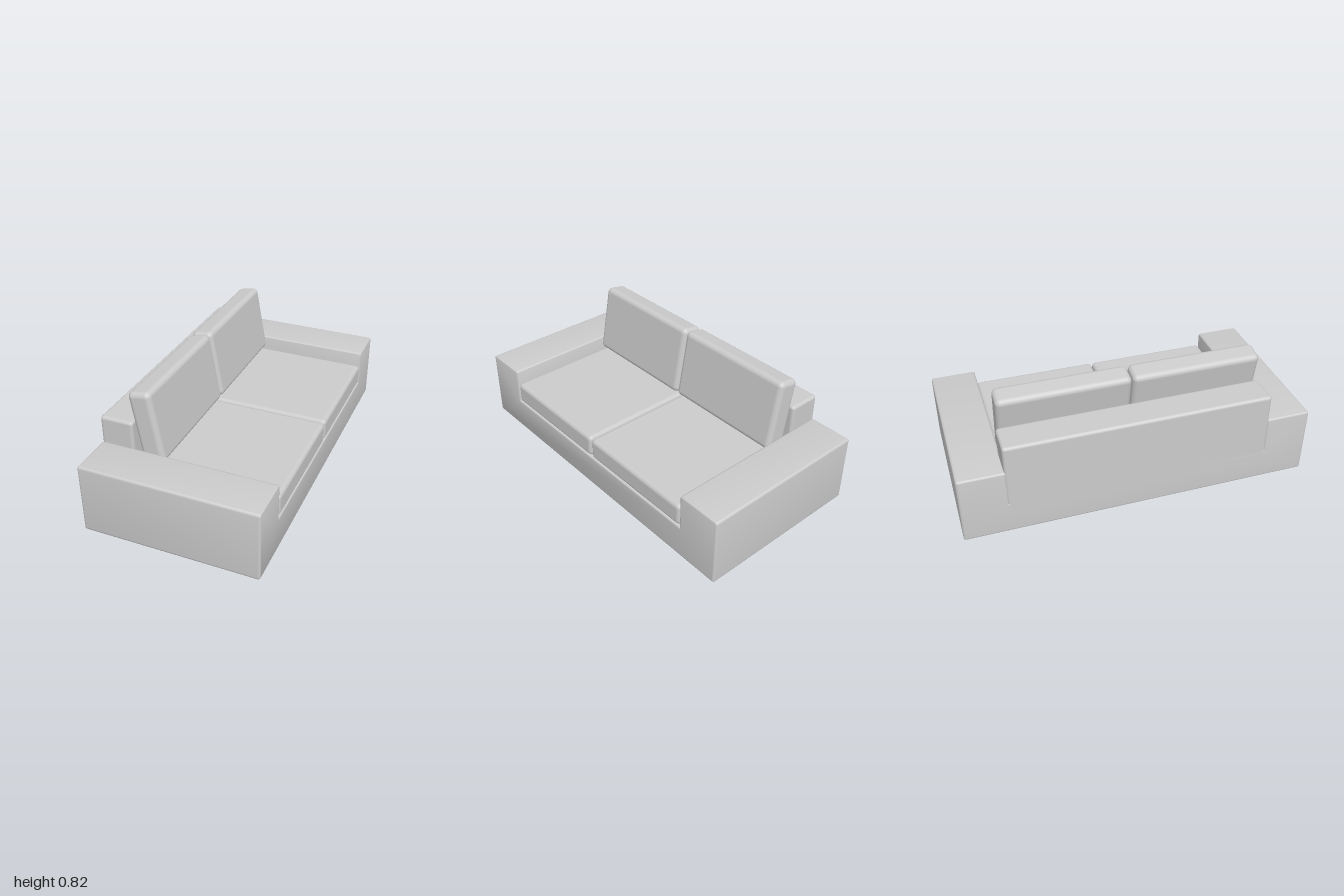
import * as THREE from 'three';
import { RoundedBoxGeometry } from 'three/addons/geometries/RoundedBoxGeometry.js';
import { toCreasedNormals } from 'three/addons/utils/BufferGeometryUtils.js';

const material = new THREE.MeshStandardMaterial({ color: 0xcccccc });

function add(parent, name, geometry, x = 0, y = 0, z = 0) {
  const mesh = new THREE.Mesh(geometry, material);
  mesh.name = name;
  mesh.position.set(x, y, z);
  parent.add(mesh);
  return mesh;
}

// Closed outline from [x, y, cornerRadius] points
function roundedShape(points) {
  const shape = new THREE.Shape();
  const n = points.length;
  points.forEach(([x, y, r], i) => {
    const corner = new THREE.Vector2(x, y);
    const towards = ([px, py]) =>
      new THREE.Vector2(px, py).sub(corner).setLength(r).add(corner);
    const a = towards(points[(i + n - 1) % n]);
    const b = towards(points[(i + 1) % n]);
    if (i === 0) shape.moveTo(a.x, a.y);
    else shape.lineTo(a.x, a.y);
    if (r > 0) shape.quadraticCurveTo(x, y, b.x, b.y);
  });
  shape.closePath();
  return shape;
}

// Base and both arms: one U-shaped profile run from back to front
function frameGeometry() {
  const r = 0.015, bevel = 0.012;
  const profile = roundedShape([
    [-1, 0.068, r], [1, 0.068, r], [1, 0.475, r], [0.74, 0.475, r],
    [0.74, 0.265, 0], [-0.74, 0.265, 0], [-0.74, 0.475, r], [-1, 0.475, r],
  ]);
  const geometry = new THREE.ExtrudeGeometry(profile, {
    depth: 1 - 2 * bevel, curveSegments: 4,
    bevelThickness: bevel, bevelSize: bevel, bevelOffset: -bevel, bevelSegments: 4,
  });
  geometry.translate(0, 0, bevel - 0.5).rotateY(Math.PI / 2);
  return toCreasedNormals(geometry, 0.6);
}

export function createModel() {
  const sofa = new THREE.Group();
  sofa.name = 'sofa';

  add(sofa, 'baseAndArms', frameGeometry());

  // Backrest sunk into the base and arms
  add(sofa, 'backrest', new RoundedBoxGeometry(0.19, 0.45, 1.5, 4, 0.018), -0.405, 0.407, 0);

  // Two seat cushions and two leaning back cushions
  for (const [side, s] of [['left', -1], ['right', 1]]) {
    const z = s * 0.37;
    add(sofa, side + 'SeatCushion',
      new RoundedBoxGeometry(0.815, 0.13, 0.735, 5, 0.025), 0.0925, 0.331, z);
    const back = add(sofa, side + 'BackCushion',
      new RoundedBoxGeometry(0.13, 0.41, 0.735, 5, 0.03), -0.238, 0.608, z);
    back.rotation.z = THREE.MathUtils.degToRad(10);
  }

  // Four tapered square feet
  const foot = new THREE.CylinderGeometry(0.0675 * Math.SQRT2, 0.0525 * Math.SQRT2, 0.075, 4)
    .rotateY(Math.PI / 4);
  const footGeometry = toCreasedNormals(foot, 0.3);
  for (const x of [-0.352, 0.352])
    for (const z of [-0.855, 0.855]) add(sofa, 'foot', footGeometry, x, 0.0375, z);

  return sofa;
}
